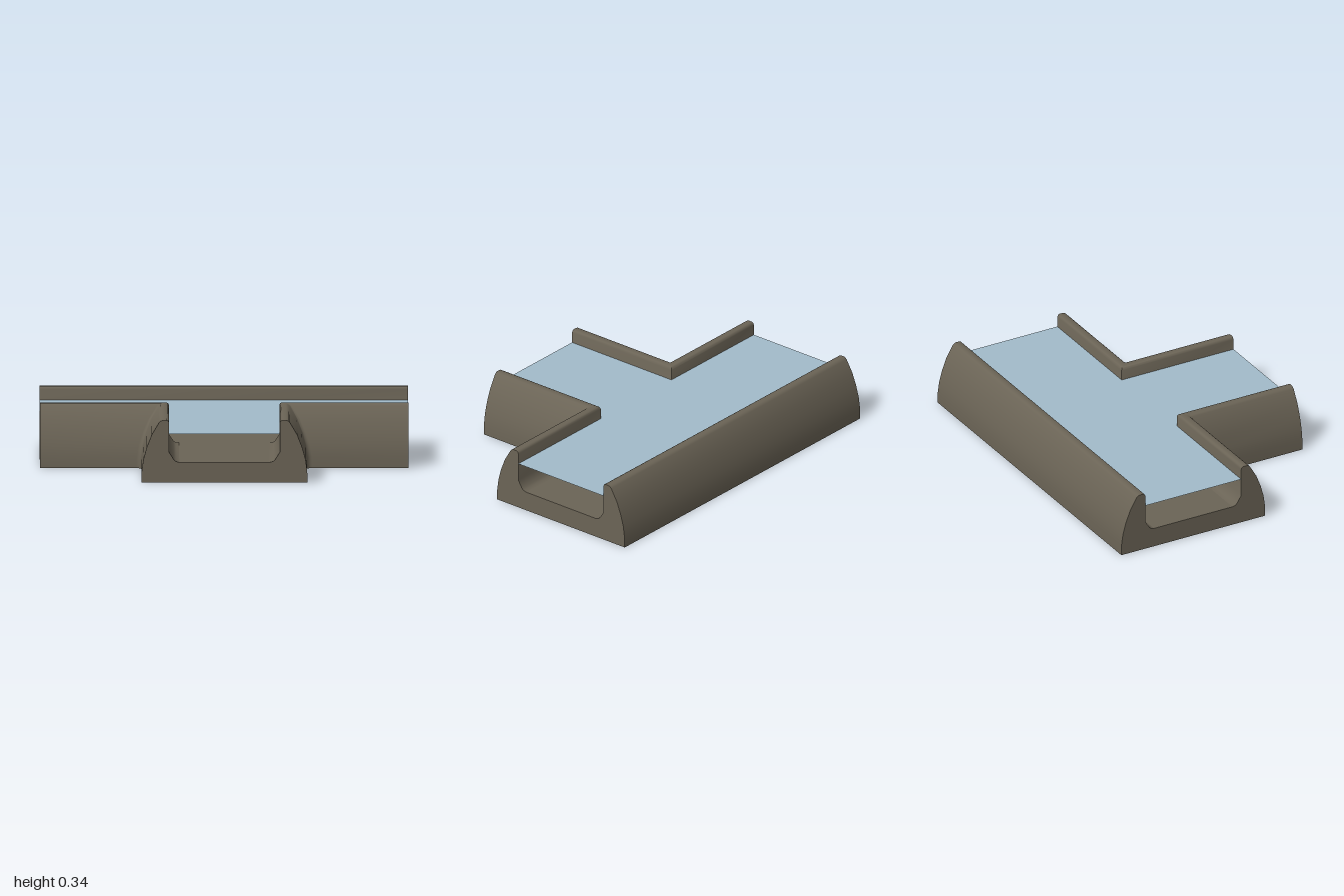
import * as THREE from 'three';
import { toCreasedNormals } from 'three/addons/utils/BufferGeometryUtils.js';

const HALF = 0.3;       // half width of the channel
const FRONT = 0.025;    // inner face of the front walls (z)
const BACK = -0.575;    // inner face of the back wall (z)
const END = 0.725;      // open end of the branch (z)
const FLOOR = 0.11, WATER = 0.265;

// wall section: [distance outward from the inner face, height]
const SECTION = [
  [0.15, 0], [0.149, 0.06], [0.14, 0.125], [0.122, 0.19], [0.095, 0.26], [0.055, 0.328],
  [0.047, 0.336], [0.035, 0.34], [0.013, 0.34], [0.005, 0.336], [0, 0.325],
  [0, 0.165], [-0.025, 0.125], [-0.036, 0.115], [-0.055, FLOOR],
];

// plan path of one front wall at offset d: main end, filleted corner, branch end
function cornerPath(d, side) {
  const r = Math.max(0, d) * 0.18;
  const path = [[side, FRONT + d]];
  for (let i = 0; i <= 4; i++) {
    const a = (i / 4) * Math.PI / 2;
    path.push([side * (HALF + d + r - r * Math.sin(a)), FRONT + d + r - r * Math.cos(a)]);
  }
  path.push([side * (HALF + d), END]);
  return path;
}

// loft the wall section along plan paths
function wallGeometry(pathAt) {
  const rows = SECTION.map(([d, y]) => pathAt(d).map(([x, z]) => [x, y, z]));
  const n = rows[0].length, index = [];
  for (let j = 0; j < rows.length - 1; j++) {
    for (let i = 0; i < n - 1; i++) {
      const a = j * n + i, b = a + 1, c = a + n, e = c + 1;
      index.push(a, b, e, a, e, c);
    }
  }
  const g = new THREE.BufferGeometry();
  g.setAttribute('position', new THREE.Float32BufferAttribute(rows.flat(2), 3));
  g.setIndex(index);
  return toCreasedNormals(g, 0.7);
}

// flat T-shaped sheet, offset outward by d, facing up or down
function teeGeometry(d, y, up) {
  const points = [
    [-1, BACK - d], [1, BACK - d],
    ...cornerPath(d, 1), ...cornerPath(d, -1).reverse(),
  ].filter((p, i, all) => i === 0 || Math.hypot(p[0] - all[i - 1][0], p[1] - all[i - 1][1]) > 1e-6)
    .map(([x, z]) => new THREE.Vector2(x, up ? -z : z));
  const g = new THREE.ShapeGeometry(new THREE.Shape(points));
  g.rotateX(up ? -Math.PI / 2 : Math.PI / 2);
  return g.translate(0, y, 0);
}

export function createModel() {
  const stone = new THREE.MeshStandardMaterial({ color: 0x6b6456 });
  stone.name = 'stone';
  const water = new THREE.MeshStandardMaterial({ color: 0xa3bccb, side: THREE.DoubleSide });
  water.name = 'water';

  const group = new THREE.Group();
  group.name = 'channelJunction';
  const add = (name, geometry, material = stone) => {
    const mesh = new THREE.Mesh(geometry, material);
    mesh.name = name;
    group.add(mesh);
    return mesh;
  };

  // walls
  add('backWall', wallGeometry((d) => [[1, BACK - d], [-1, BACK - d]]));
  add('leftCornerWall', wallGeometry((d) => cornerPath(d, 1).reverse()));
  add('rightCornerWall', wallGeometry((d) => cornerPath(d, -1)));

  // channel floor, underside and water sheet
  add('channelFloor', teeGeometry(-0.055, FLOOR, true));
  add('underside', teeGeometry(0.15, 0, false));
  add('waterSurface', teeGeometry(0, WATER, true), water);

  // U-shaped faces closing the three open ends
  const outline = [
    ...SECTION.map(([d, y]) => new THREE.Vector2(HALF + d, y)),
    ...SECTION.map(([d, y]) => new THREE.Vector2(-HALF - d, y)).reverse(),
  ];
  const endGeometry = new THREE.ShapeGeometry(new THREE.Shape(outline));
  const middle = (FRONT + BACK) / 2;
  add('branchEnd', endGeometry).position.z = END;
  for (const side of [1, -1]) {
    const end = add(side > 0 ? 'leftEnd' : 'rightEnd', endGeometry);
    end.position.set(side, 0, middle);
    end.rotation.y = side * Math.PI / 2;
  }
  return group;
}
